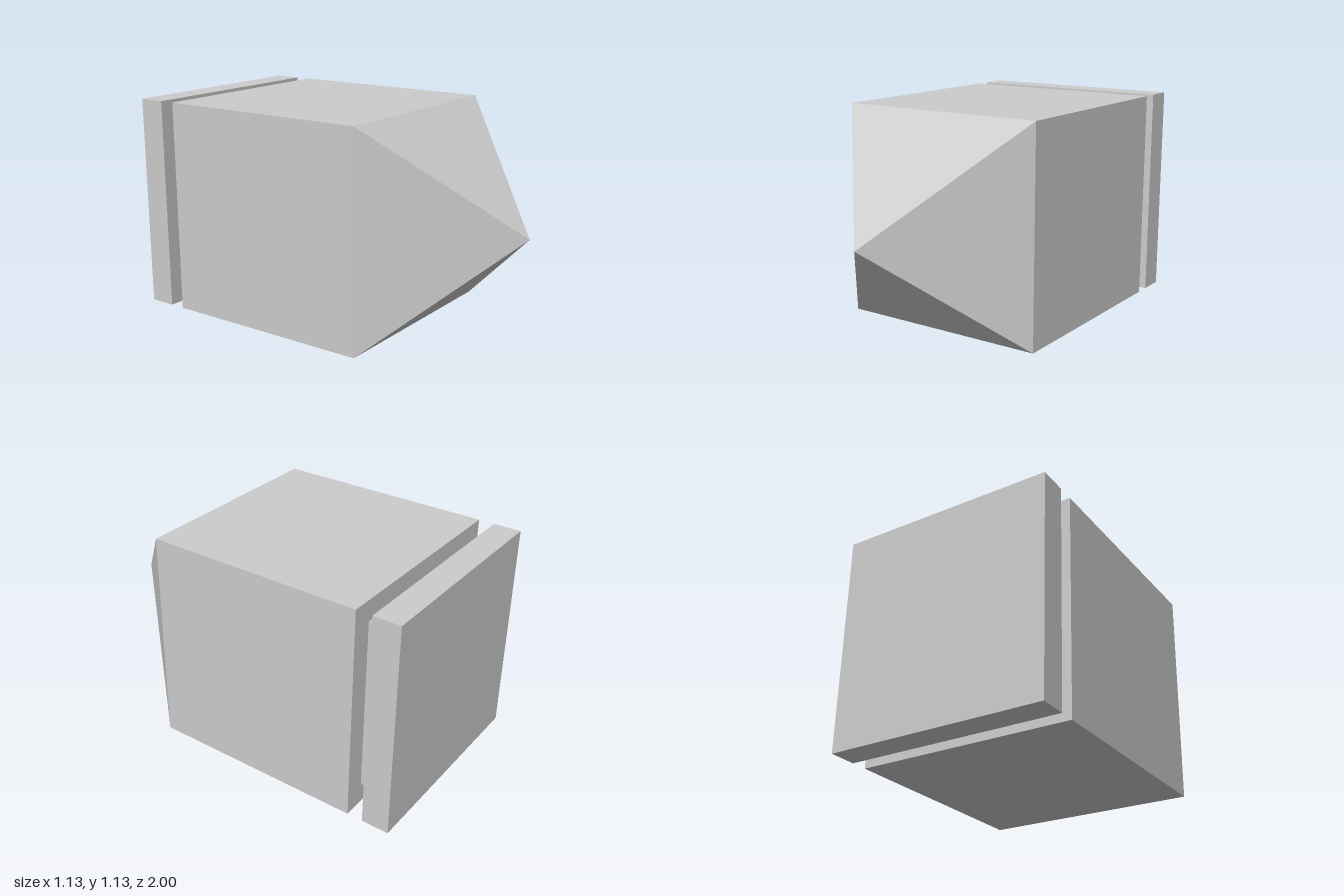
import * as THREE from 'three';

export function createModel() {
  const model = new THREE.Group();
  const material = new THREE.MeshStandardMaterial({ color: 0xcccccc, flatShading: true });
  const half = 0.565; // half width of the square section

  function add(name, geometry, z) {
    const mesh = new THREE.Mesh(geometry, material);
    mesh.name = name;
    mesh.position.set(0, half, z);
    model.add(mesh);
  }

  // Square block spanning zBack to zFront
  function block(name, halfWidth, zBack, zFront) {
    const geometry = new THREE.BoxGeometry(halfWidth * 2, halfWidth * 2, zFront - zBack);
    add(name, geometry, (zBack + zFront) / 2);
  }

  block('body', half, -0.775, 0.375);
  block('neck', 0.455, -0.855, -0.775);
  block('neckCollar', 0.485, -0.857, -0.852);
  block('backPlate', half, -1, -0.857);

  // Four-sided pyramid pointing forward
  const tip = new THREE.ConeGeometry(half * Math.SQRT2, 0.625, 4, 1, true);
  tip.rotateY(Math.PI / 4).rotateX(Math.PI / 2);
  add('pointedTip', tip, 0.375 + 0.625 / 2);

  return model;
}
